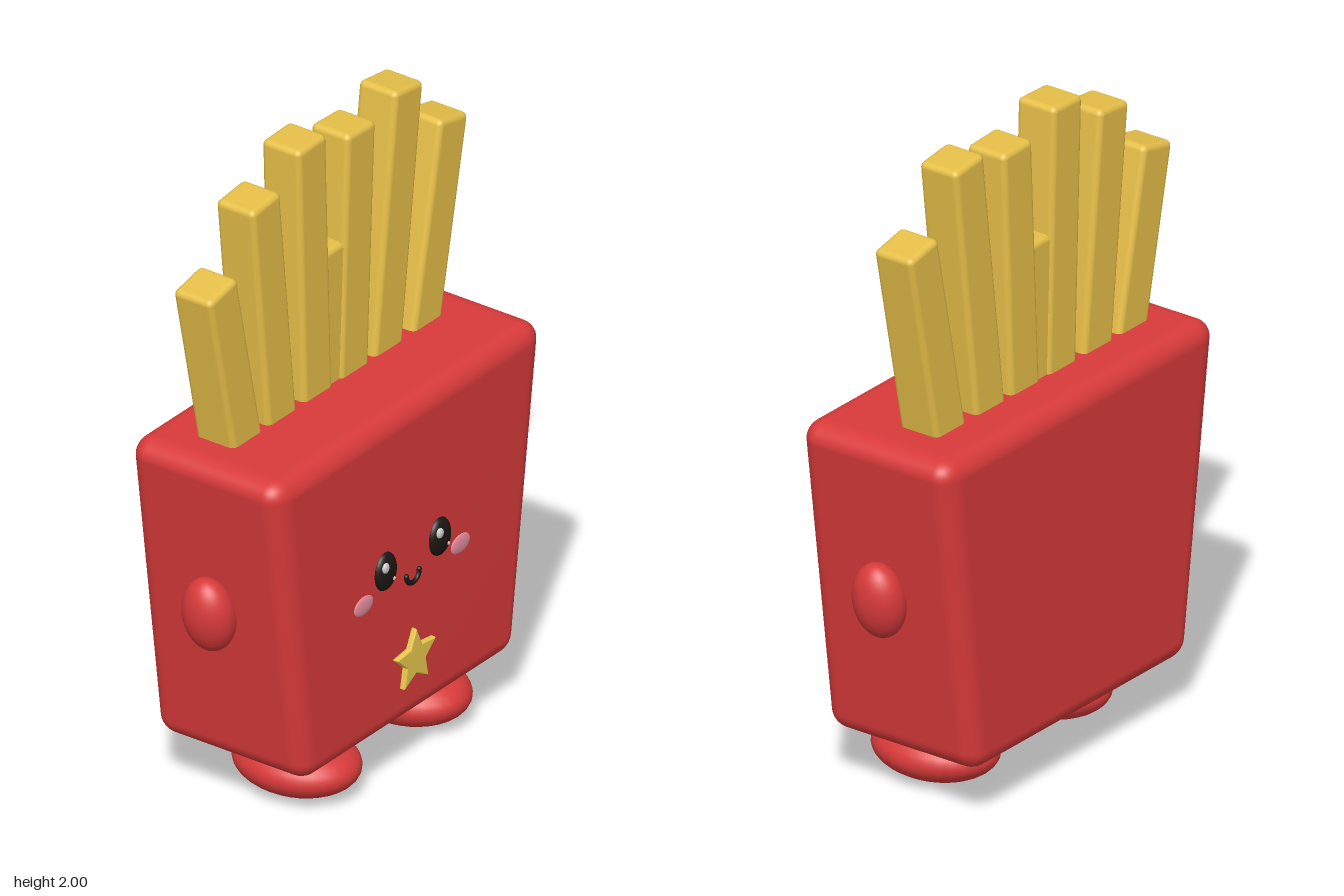
import * as THREE from 'three';
import { RoundedBoxGeometry } from 'three/addons/geometries/RoundedBoxGeometry.js';
import { mergeVertices } from 'three/addons/utils/BufferGeometryUtils.js';

const mat = (color) => new THREE.MeshStandardMaterial({ color });
const red = mat(0xd93a3a), yellow = mat(0xe6bf48), black = mat(0x1c1613);
const pink = mat(0xe58c9c), white = mat(0xffffff), gold = mat(0xe8c84e);

export function createModel() {
  const model = new THREE.Group();
  model.name = 'friesCharacter';

  const add = (name, geometry, material, x, y, z, tilt = 0) => {
    const mesh = new THREE.Mesh(geometry, material);
    mesh.name = name;
    mesh.position.set(x, y, z);
    mesh.rotation.z = tilt;
    model.add(mesh);
    return mesh;
  };
  const ellipsoid = (rx, ry, rz) => new THREE.SphereGeometry(1, 32, 20).scale(rx, ry, rz);

  // Carton: rounded box that widens towards the top
  const height = 1.01, midZ = -0.012;
  let carton = new RoundedBoxGeometry(1, height, 0.535, 5, 0.06);
  const p = carton.attributes.position;
  for (let i = 0; i < p.count; i++) {
    const t = p.getY(i) / height + 0.5;
    p.setX(i, p.getX(i) * (1 + 0.28 * t));
  }
  carton.deleteAttribute('normal');
  carton.deleteAttribute('uv');
  carton = mergeVertices(carton, 1e-5);
  carton.computeVertexNormals();
  add('carton', carton, red, 0, 0.675, midZ);

  // Fries: [x at the carton rim, x at the top, y at the top, thickness]
  const rim = 1.185, sunk = 0.3;
  const fries = [
    [-0.437, -0.55, 1.71, 0.135],
    [-0.272, -0.347, 1.905, 0.135],
    [-0.103, -0.13, 2.0, 0.135],
    [-0.015, -0.015, 1.61, 0.118],
    [0.069, 0.103, 1.945, 0.135],
    [0.23, 0.328, 1.98, 0.135],
    [0.415, 0.54, 1.79, 0.135],
  ];
  for (const [x0, x1, y1, w] of fries) {
    const angle = Math.atan2(x1 - x0, y1 - rim);
    const length = Math.hypot(x1 - x0, y1 - rim) + sunk;
    const geometry = new RoundedBoxGeometry(w, length, w, 3, 0.018);
    geometry.translate(0, -length / 2, 0);
    add('fry', geometry, yellow, x1, y1, -0.062, -angle);
  }

  // Mirrored parts
  for (const s of [1, -1]) {
    const side = s > 0 ? 'left' : 'right';
    add(side + 'Arm', ellipsoid(0.07, 0.12, 0.082), red, s * 0.598, 0.685, midZ, -s * 0.17);
    add(side + 'Foot', ellipsoid(0.16, 0.088, 0.198), red, s * 0.26, 0.089, 0.045);
    add(side + 'Eye', ellipsoid(0.048, 0.06, 0.024), black, s * 0.128, 0.703, 0.255);
    add(side + 'EyeGlint', ellipsoid(0.014, 0.016, 0.008), white, s * 0.128 - 0.02, 0.727, 0.274);
    add(side + 'EyeSmallGlint', ellipsoid(0.006, 0.006, 0.005), white, s * 0.128 + 0.017, 0.68, 0.275);
    add(side + 'Cheek', ellipsoid(0.045, 0.03, 0.008), pink, s * 0.228, 0.635, 0.255);
  }

  // Smile
  const smile = new THREE.TorusGeometry(0.03, 0.008, 10, 24, Math.PI);
  add('mouth', smile, black, 0, 0.642, 0.258, Math.PI);
  for (const s of [1, -1]) add('mouthEnd', ellipsoid(0.008, 0.008, 0.008), black, s * 0.03, 0.642, 0.258);

  // Star badge
  const star = new THREE.Shape();
  for (let i = 0; i < 10; i++) {
    const r = i % 2 ? 0.042 : 0.09, a = Math.PI / 2 + i * Math.PI / 5;
    star[i ? 'lineTo' : 'moveTo'](r * Math.cos(a), r * Math.sin(a));
  }
  star.closePath();
  const badge = new THREE.ExtrudeGeometry(star, {
    depth: 0.02, bevelThickness: 0.004, bevelSize: 0.004, bevelSegments: 2,
  });
  add('starBadge', badge, gold, 0, 0.37, 0.249);

  return model;
}
